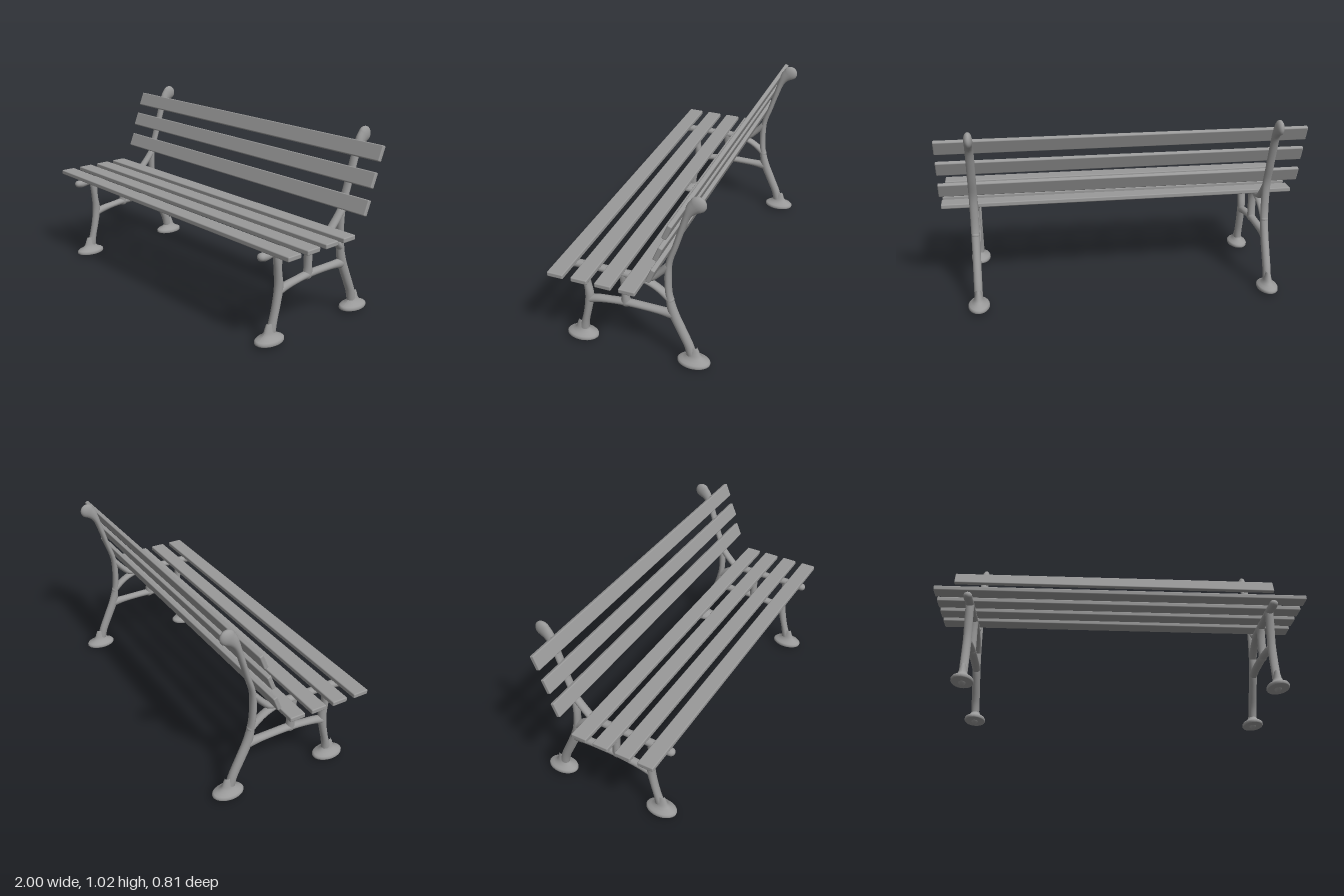
import * as THREE from 'three';
import { RoundedBoxGeometry } from 'three/addons/geometries/RoundedBoxGeometry.js';

const FRAME_X = 0.817;
const HALF_THICK = 0.023;

// Tapered round-ended bar in the side plane; each point is [z, y, half width]
function limbGeometry(points, steps = 28, sides = 16) {
  const curve = new THREE.CatmullRomCurve3(points.map(p => new THREE.Vector3(...p)));
  const rings = [];
  const capSteps = 5;
  const addRing = (t, angle, sign) => {
    const c = curve.getPoint(t);
    const d = curve.getTangent(t);
    const len = Math.hypot(d.x, d.y);
    const tz = d.x / len, ty = d.y / len;
    const shift = sign * Math.sin(angle) * c.z;
    const k = Math.max(Math.cos(angle), 0.01);
    rings.push({ z: c.x + tz * shift, y: c.y + ty * shift, ty, tz, r: c.z * k, rx: HALF_THICK * k });
  };
  for (let i = capSteps; i > 0; i--) addRing(0, (i / capSteps) * Math.PI / 2, -1);
  for (let i = 0; i <= steps; i++) addRing(i / steps, 0, 1);
  for (let i = 1; i <= capSteps; i++) addRing(1, (i / capSteps) * Math.PI / 2, 1);

  const position = [], index = [];
  rings.forEach((s, i) => {
    for (let j = 0; j < sides; j++) {
      const a = (j / sides) * Math.PI * 2;
      const n = s.r * Math.cos(a);
      position.push(s.rx * Math.sin(a), s.y - s.tz * n, s.z + s.ty * n);
      if (i === rings.length - 1) continue;
      const k = (j + 1) % sides;
      const p = i * sides + j, q = i * sides + k;
      index.push(p, q, p + sides, q, q + sides, p + sides);
    }
  });
  const g = new THREE.BufferGeometry();
  g.setAttribute('position', new THREE.Float32BufferAttribute(position, 3));
  g.setIndex(index);
  g.computeVertexNormals();
  return g;
}

// Flared oval foot
function footGeometry() {
  const profile = [[0, 0], [0.96, 0], [0.96, 0], [1, 0.004], [1, 0.014], [0.92, 0.021], [0.7, 0.029],
    [0.5, 0.04], [0.38, 0.056], [0.3, 0.08], [0.2, 0.1]];
  const g = new THREE.LatheGeometry(profile.map(p => new THREE.Vector2(...p)), 32);
  g.scale(0.058, 1, 0.088);
  g.computeVertexNormals();
  return g;
}

const LIMBS = {
  frontLeg: [[0.314, 0.02, 0.036], [0.305, 0.06, 0.026], [0.293, 0.11, 0.02], [0.272, 0.2, 0.021],
    [0.26, 0.28, 0.024], [0.268, 0.36, 0.019], [0.272, 0.43, 0.023], [0.272, 0.462, 0.026]],
  rearLegAndBackPost: [[-0.315, 0.02, 0.036], [-0.303, 0.06, 0.027], [-0.288, 0.11, 0.025], [-0.248, 0.2, 0.026],
    [-0.206, 0.3, 0.026], [-0.187, 0.4, 0.018], [-0.182, 0.5, 0.018], [-0.19, 0.6, 0.016], [-0.223, 0.7, 0.015],
    [-0.254, 0.8, 0.016], [-0.285, 0.89, 0.02], [-0.308, 0.93, 0.032], [-0.337, 0.957, 0.043]],
  seatRail: [[0.382, 0.464, 0.021], [0.36, 0.463, 0.024], [0.32, 0.467, 0.021], [0.27, 0.469, 0.021],
    [0.16, 0.471, 0.018], [0.05, 0.471, 0.02], [-0.05, 0.472, 0.019], [-0.09, 0.482, 0.018],
    [-0.14, 0.528, 0.018], [-0.185, 0.58, 0.018]],
  lowerBrace: [[-0.02, 0.47, 0.02], [-0.07, 0.457, 0.017], [-0.12, 0.434, 0.017], [-0.16, 0.405, 0.019],
    [-0.192, 0.375, 0.02]],
  middlePost: [[0.053, 0.29, 0.028], [0.053, 0.32, 0.022], [0.054, 0.37, 0.02], [0.054, 0.42, 0.023],
    [0.053, 0.462, 0.032]],
  stretcher: [[0.262, 0.255, 0.022], [0.21, 0.27, 0.021], [0.13, 0.282, 0.018], [0.05, 0.29, 0.02],
    [-0.05, 0.291, 0.019], [-0.14, 0.289, 0.021], [-0.2, 0.285, 0.028]],
};

export function createModel() {
  const bench = new THREE.Group();
  bench.name = 'bench';
  const grey = new THREE.MeshStandardMaterial({ color: 0x999999 });
  grey.name = 'grey';
  const add = (parent, name, geometry) => {
    const mesh = new THREE.Mesh(geometry, grey);
    mesh.name = name;
    parent.add(mesh);
    return mesh;
  };

  // Cast side frames
  const limbs = Object.entries(LIMBS).map(([name, pts]) => [name, limbGeometry(pts, pts.length * 4)]);
  const foot = footGeometry();
  for (const [side, x] of [['left', FRAME_X], ['right', -FRAME_X]]) {
    const frame = new THREE.Group();
    frame.name = side + 'Frame';
    frame.position.x = x;
    for (const [name, geometry] of limbs) add(frame, name, geometry);
    add(frame, 'frontFoot', foot).position.z = 0.317;
    add(frame, 'rearFoot', foot).position.z = -0.317;
    bench.add(frame);
  }

  // Seat slats
  const seatSlat = new RoundedBoxGeometry(2, 0.026, 0.087, 2, 0.006);
  [0.344, 0.214, 0.086, -0.041].forEach((z, i) => {
    add(bench, 'seatSlat' + (i + 1), seatSlat).position.set(0, 0.505, z);
  });

  // Leaning back slats
  const backSlat = new RoundedBoxGeometry(2, 0.083, 0.024, 2, 0.006);
  [[0.636, -0.167], [0.771, -0.208], [0.9, -0.255]].forEach(([y, z], i) => {
    const slat = add(bench, 'backSlat' + (i + 1), backSlat);
    slat.position.set(0, y, z);
    slat.rotation.x = -0.39;
  });
  return bench;
}
